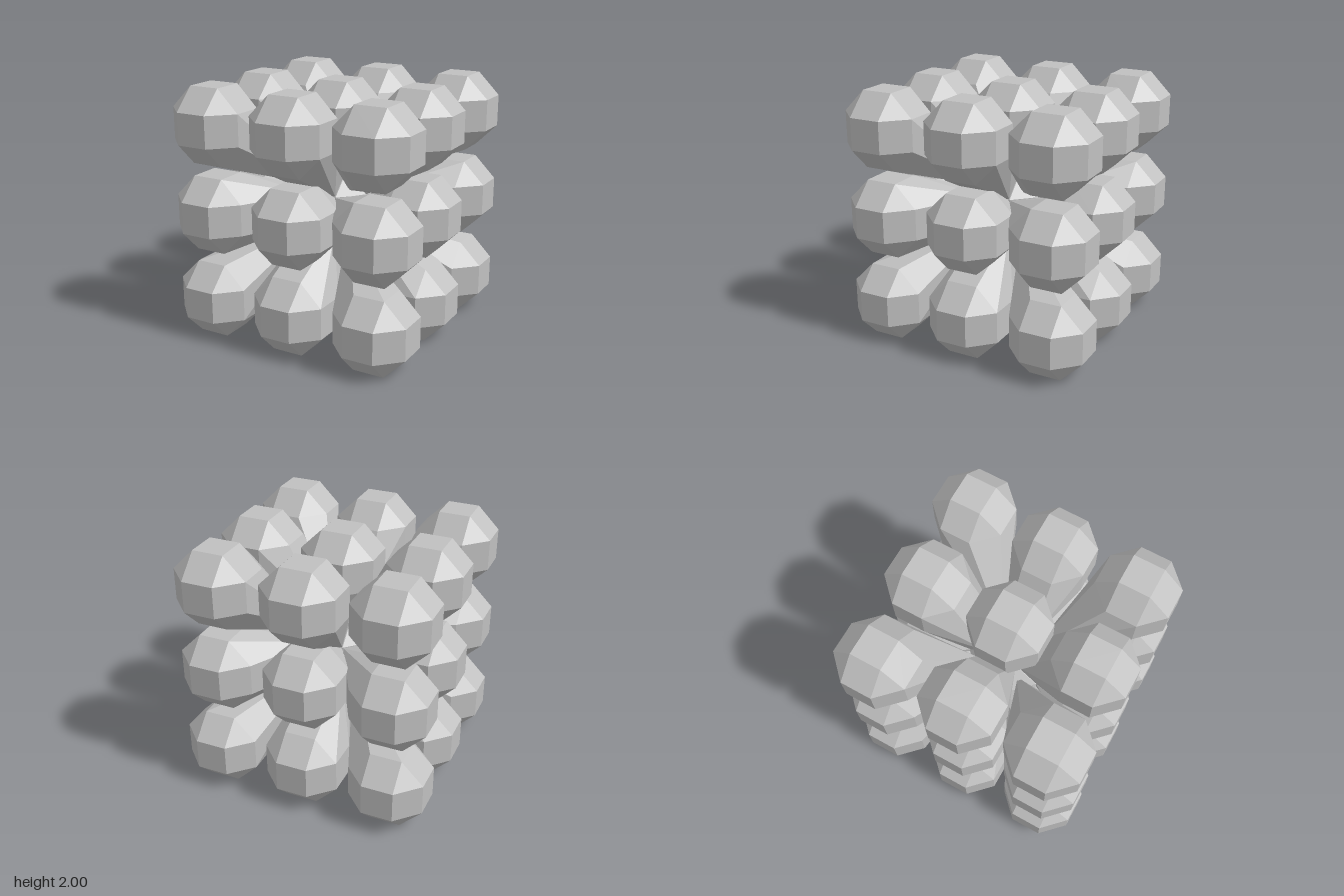
import * as THREE from 'three';
import { ConvexGeometry } from 'three/addons/geometries/ConvexGeometry.js';

const R = 0.3, A = 0.125, SPACING = 0.7;

// the 24 corners of a rhombicuboctahedron
function ballPoints() {
  const pts = [];
  for (const sx of [-1, 1]) for (const sy of [-1, 1]) for (const sz of [-1, 1]) {
    pts.push(new THREE.Vector3(sx * R, sy * A, sz * A));
    pts.push(new THREE.Vector3(sx * A, sy * R, sz * A));
    pts.push(new THREE.Vector3(sx * A, sy * A, sz * R));
  }
  return pts;
}

// the core face that points along dir
function coreFace(points, dir) {
  const best = Math.max(...points.map((p) => p.dot(dir)));
  return points.filter((p) => p.dot(dir) > best - 1e-4);
}

export function createModel() {
  const model = new THREE.Group();
  model.name = 'clusterOfBalls';
  const grey = new THREE.MeshStandardMaterial({ color: 0xc0c0c0 });
  grey.name = 'lightGrey';
  const points = ballPoints();

  // central ball
  const core = new THREE.Mesh(new ConvexGeometry(points), grey);
  core.name = 'coreBall';
  core.position.y = 1;
  model.add(core);

  // 26 outer balls, each tapering inwards to the core
  for (const x of [-1, 0, 1]) for (const y of [-1, 0, 1]) for (const z of [-1, 0, 1]) {
    const dir = new THREE.Vector3(x, y, z);
    const axes = dir.lengthSq();
    if (axes === 0) continue;
    const centre = dir.clone().multiplyScalar(SPACING);
    const ball = points.map((p) => p.clone().add(centre));

    // corner arms end almost in a point, the others on a square face
    const face = coreFace(points, dir);
    const mid = face.reduce((s, p) => s.add(p), new THREE.Vector3()).divideScalar(face.length);
    const scale = axes === 3 ? -0.14 : 0.95;
    const tip = face.map((p) => p.clone().sub(mid).multiplyScalar(scale).add(mid));

    const arm = new THREE.Mesh(new ConvexGeometry([...ball, ...tip]), grey);
    arm.name = ['faceArm', 'edgeArm', 'cornerArm'][axes - 1];
    arm.position.y = 1;
    model.add(arm);
  }
  return model;
}
